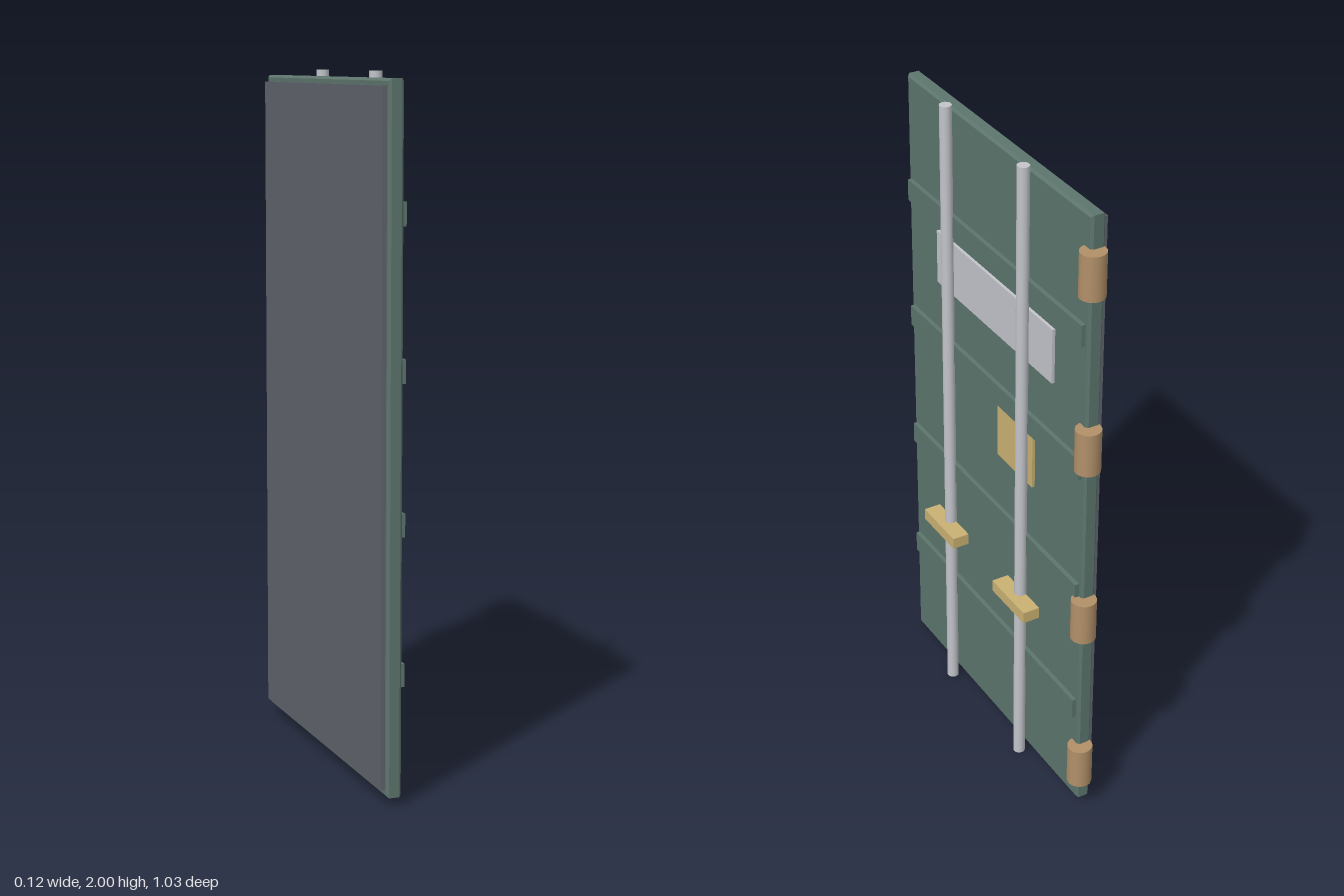
import * as THREE from 'three';

const mat = (name, color) => {
  const m = new THREE.MeshStandardMaterial({ color });
  m.name = name;
  return m;
};

export function createModel() {
  const group = new THREE.Group();
  group.name = 'door';
  const green = mat('greenPaint', 0x5d756d);
  const dark = mat('darkBacking', 0x5f636c);
  const steel = mat('steel', 0xc2c4ca);
  const brass = mat('brass', 0xcab172);
  const bronze = mat('bronze', 0xb19069);

  const add = (name, geometry, material) => {
    const mesh = new THREE.Mesh(geometry, material);
    mesh.name = name;
    group.add(mesh);
    return mesh;
  };
  // Box given by its minimum and maximum on each axis
  const box = (name, material, x0, x1, y0, y1, z0, z1) =>
    add(name, new THREE.BoxGeometry(x1 - x0, y1 - y0, z1 - z0), material)
      .position.set((x0 + x1) / 2, (y0 + y1) / 2, (z0 + z1) / 2);
  const post = (name, material, r, x, y0, y1, z, sides) =>
    add(name, new THREE.CylinderGeometry(r, r, y1 - y0, sides), material)
      .position.set(x, (y0 + y1) / 2, z);

  // Door leaf with chamfered rim, extruded along x
  const b = 0.007;
  const [y0, y1, z0, z1] = [0.024 + b, 1.982 - b, -0.475 + b, 0.512 - b];
  const outline = new THREE.Shape([
    new THREE.Vector2(-z1, y0), new THREE.Vector2(-z0, y0),
    new THREE.Vector2(-z0, y1), new THREE.Vector2(-z1, y1),
  ]);
  const leaf = new THREE.ExtrudeGeometry(outline, {
    depth: 0.03, bevelEnabled: true, bevelThickness: b, bevelSize: b, bevelSegments: 1,
  });
  leaf.rotateY(Math.PI / 2);
  add('doorLeaf', leaf, green).position.x = -0.042;

  // Backing sheet
  box('backingSheet', dark, -0.062, -0.045, 0.044, 1.963, -0.46, 0.497);

  // Horizontal ribs
  for (const y of [0.365, 0.784, 1.205, 1.626])
    box('rib', green, -0.012, 0.008, y - 0.033, y + 0.033, -0.459, 0.497);

  // Name plate and lock plate
  box('signPlate', steel, -0.008, 0.004, 1.4, 1.568, -0.309, 0.333);
  box('lockPlate', brass, -0.008, 0.004, 1.0, 1.17, -0.212, -0.017);

  // Locking rods with their handles
  for (const z of [0.245, -0.175]) {
    post('lockingRod', steel, 0.018, 0.018, 0, 2, z, 16);
    box('handle', brass, 0.008, 0.061, 0.572, 0.608, z - 0.092, z + 0.09);
  }

  // Hinge barrels
  for (const y of [0.169, 0.708, 1.28, 1.819])
    post('hinge', bronze, 0.037, -0.01, y - 0.066, y + 0.066, -0.478, 20);

  return group;
}
